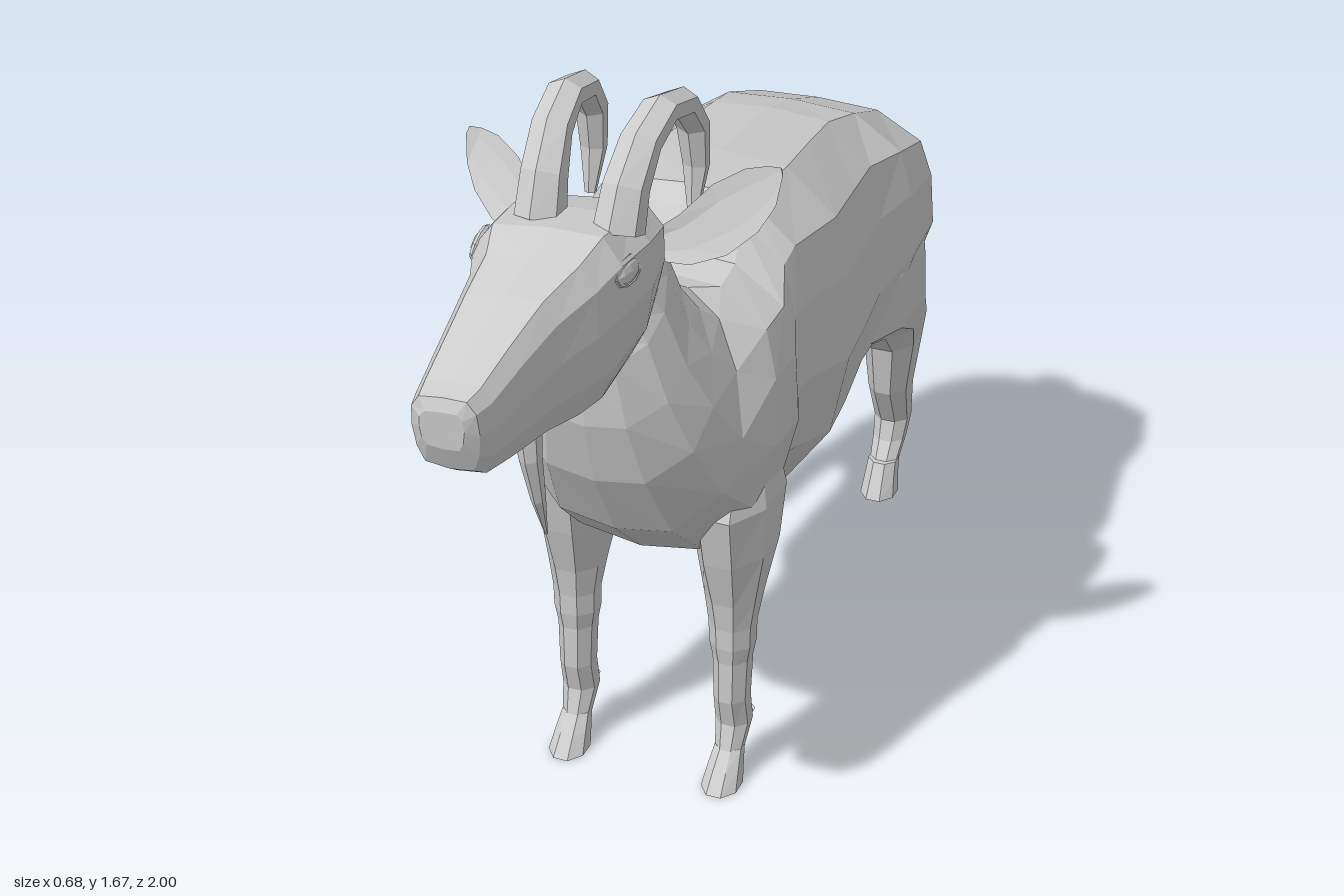
import * as THREE from 'three';

const coat = new THREE.MeshStandardMaterial({ color: 0xcccccc, flatShading: true });
coat.name = 'pale grey coat';

const MID = 0.02; // the body's mirror plane
const V = (x, y, z) => new THREE.Vector3(x, y, z);

// Skin a list of equal rings of points, closed at both ends.
function loft(name, rings) {
  const pos = [], n = rings[0].length;
  const tri = (a, b, c) => pos.push([a, b, c]);
  for (let i = 0; i < rings.length - 1; i++) {
    for (let j = 0; j < n; j++) {
      const k = (j + 1) % n, p = rings[i], q = rings[i + 1];
      tri(p[j], p[k], q[k]);
      tri(p[j], q[k], q[j]);
    }
  }
  const middle = r => r.reduce((s, p) => s.add(p), V(0, 0, 0)).divideScalar(n);
  const first = rings[0], last = rings[rings.length - 1];
  const c0 = middle(first), c1 = middle(last);
  for (let j = 0; j < n; j++) {
    const k = (j + 1) % n;
    tri(first[k], first[j], c0);
    tri(last[j], last[k], c1);
  }
  // turn the skin outward whichever way the rings run
  let volume = 0;
  for (const [a, b, c] of pos) {
    volume += a.clone().sub(c0).dot(b.clone().sub(c0).cross(c.clone().sub(c0)));
  }
  const points = pos.flatMap(([a, b, c]) => (volume < 0 ? [a, c, b] : [a, b, c]));
  const geo = new THREE.BufferGeometry().setFromPoints(points);
  geo.computeVertexNormals();
  const mesh = new THREE.Mesh(geo, coat);
  mesh.name = name;
  return mesh;
}

// Ring from a half profile, stretched between a top and a bottom point.
// roll lifts the left side and lowers the right.
function profileRing(profile, [tz, ty, bz, by, w, x = MID], roll = 0) {
  const right = profile.slice(1, -1).reverse().map(([u, v]) => [-u, v]);
  return [...profile, ...right].map(([u, v]) => {
    const t = (v + 1) / 2;
    return V(x + u * w, by + (ty - by) * t + roll * u * w * t, bz + (tz - bz) * t);
  });
}

// Eight-sided level ring: [y, front z, back z, x, half width]
function levelRing(side, [y, zf, zb, x, hw]) {
  return Array.from({ length: 8 }, (_, i) => {
    const a = ((i + 0.5) / 8) * Math.PI * 2;
    const k = 1 / Math.cos(Math.PI / 8);
    return V(MID + side * (x + hw * k * Math.cos(a)), y, (zf + zb) / 2 + ((zf - zb) / 2) * k * Math.sin(a));
  });
}

// Tube bending in a side-on plane: [z, y, half width, half depth, x]
function bentTube(name, path, sides) {
  return loft(name, path.map(([z, y, hw, hd, x], i) => {
    const a = path[Math.max(i - 1, 0)], b = path[Math.min(i + 1, path.length - 1)];
    const dz = b[0] - a[0], dy = b[1] - a[1], len = Math.hypot(dz, dy);
    return Array.from({ length: sides }, (_, j) => {
      const t = ((j + 0.5) / sides) * Math.PI * 2, d = hd * Math.sin(t);
      return V(x + hw * Math.cos(t), y + (dz / len) * d, z - (dy / len) * d);
    });
  }));
}

export function createModel() {
  const goat = new THREE.Group();
  goat.name = 'goat';

  // Trunk from rump to shoulders, then a rounder neck up to the throat
  const trunk = [[0, 1], [0.5, 0.97], [0.87, 0.73], [0.97, 0.4], [1, -0.08], [0.87, -0.55], [0.5, -0.93], [0, -1]];
  const neck = [[0, 1], [0.36, 0.97], [0.66, 0.78], [0.87, 0.4], [1, -0.1], [0.9, -0.55], [0.5, -0.93], [0, -1]];
  const trunkRings = [
    [-0.94, 0.98, -0.94, 0.81, 0.12],
    [-0.905, 1.055, -0.92, 0.73, 0.215],
    [-0.83, 1.14, -0.83, 0.66, 0.28],
    [-0.65, 1.215, -0.66, 0.60, 0.293],
    [-0.52, 1.252, -0.50, 0.52, 0.265],
    [-0.38, 1.27, -0.36, 0.482, 0.278],
    [-0.22, 1.287, -0.22, 0.482, 0.295],
    [-0.04, 1.295, -0.08, 0.53, 0.265],
    [0.00, 1.265, -0.02, 0.55, 0.258],
    [0.06, 1.195, 0.06, 0.56, 0.284],
    [0.13, 1.178, 0.22, 0.575, 0.277],
  ];
  const neckRings = [
    [0.18, 1.19, 0.36, 0.70, 0.245],
    [0.22, 1.215, 0.46, 0.87, 0.21],
    [0.25, 1.26, 0.505, 1.02, 0.17],
    [0.28, 1.36, 0.515, 1.16, 0.13],
    [0.35, 1.43, 0.50, 1.21, 0.10],
  ];
  goat.add(loft('bodyAndNeck', [
    ...trunkRings.map(s => profileRing(trunk, s)),
    ...neckRings.map(s => profileRing(neck, s)),
  ]));

  // Head, turned and tipped slightly aside
  const skull = [[0, 1], [0.7, 0.96], [0.95, 0.65], [1, 0.1], [0.92, -0.5], [0.72, -0.92], [0, -1]];
  goat.add(loft('head', [
    [0.30, 1.40, 0.36, 1.26, 0.09, 0.0],
    [0.36, 1.445, 0.41, 1.22, 0.145, -0.005],
    [0.47, 1.475, 0.48, 1.17, 0.17, -0.015],
    [0.58, 1.485, 0.60, 1.14, 0.16, -0.015],
    [0.655, 1.46, 0.67, 1.14, 0.135, -0.012],
    [0.755, 1.43, 0.755, 1.145, 0.11, -0.024],
    [0.86, 1.385, 0.87, 1.15, 0.092, -0.033],
    [0.95, 1.345, 0.94, 1.155, 0.079, -0.04],
    [0.99, 1.335, 0.97, 1.175, 0.068, -0.042],
    [1.0, 1.31, 0.995, 1.23, 0.045, -0.042],
  ].map(s => profileRing(skull, s, 0.07))));

  // Beard
  goat.add(bentTube('beard', [
    [0.735, 1.15, 0.028, 0.030, 0.005],
    [0.738, 1.08, 0.022, 0.025, 0.012],
    [0.72, 0.98, 0.014, 0.017, 0.018],
    [0.692, 0.885, 0.003, 0.003, 0.02],
  ], 6));

  // Tail, drooping
  goat.add(bentTube('tail', [
    [-0.86, 1.06, 0.055, 0.03, MID],
    [-0.93, 1.035, 0.05, 0.025, MID],
    [-0.968, 0.985, 0.04, 0.02, MID],
    [-0.98, 0.93, 0.03, 0.016, MID],
    [-0.99, 0.875, 0.012, 0.009, MID],
  ], 6));

  for (const side of [1, -1]) {
    const word = side > 0 ? 'left' : 'right';
    const leg = (name, rows) => goat.add(loft(word + name, rows.map(r => levelRing(side, r))));

    // Front leg with knee, fetlock and hoof
    leg('FrontLeg', [
      [0.82, 0.21, 0.02, 0.185, 0.055],
      [0.70, 0.265, -0.025, 0.178, 0.083],
      [0.575, 0.24, 0.005, 0.178, 0.075],
      [0.46, 0.208, 0.07, 0.178, 0.057],
      [0.39, 0.197, 0.095, 0.178, 0.047],
      [0.34, 0.195, 0.096, 0.178, 0.046],
      [0.30, 0.188, 0.10, 0.178, 0.039],
      [0.20, 0.188, 0.105, 0.178, 0.036],
      [0.13, 0.17, 0.095, 0.178, 0.037],
      [0.06, 0.19, 0.13, 0.178, 0.028],
    ]);
    leg('FrontHoof', [
      [0.075, 0.185, 0.13, 0.178, 0.03],
      [0.04, 0.22, 0.14, 0.178, 0.035],
      [0, 0.255, 0.15, 0.178, 0.04],
    ]);

    // Hind leg, held above the ground
    leg('HindLeg', [
      [0.97, -0.56, -0.83, 0.195, 0.065],
      [0.85, -0.50, -0.885, 0.19, 0.092],
      [0.71, -0.51, -0.915, 0.193, 0.087],
      [0.64, -0.685, -0.92, 0.193, 0.075],
      [0.56, -0.77, -0.93, 0.19, 0.06],
      [0.43, -0.795, -0.92, 0.186, 0.046],
      [0.32, -0.86, -0.935, 0.182, 0.04],
      [0.27, -0.85, -0.92, 0.18, 0.036],
      [0.21, -0.81, -0.87, 0.18, 0.03],
    ]);
    leg('HindHoof', [
      [0.23, -0.81, -0.88, 0.18, 0.033],
      [0.19, -0.79, -0.87, 0.18, 0.036],
      [0.15, -0.77, -0.87, 0.18, 0.04],
    ]);

    // Dewclaws behind each fetlock
    for (const [y, z] of [[0.135, 0.105], [0.295, -0.925]]) {
      for (const dx of [-0.023, 0.023]) {
        const claw = new THREE.Mesh(new THREE.ConeGeometry(0.016, 0.04, 5), coat);
        claw.name = word + 'Dewclaw';
        claw.position.set(MID + side * 0.18 + dx, y, z - 0.008);
        claw.rotation.x = -2.1;
        goat.add(claw);
      }
    }

    // Horn, arching back and down
    const hx = d => 0.017 + side * d;
    goat.add(bentTube(word + 'Horn', [
      [0.505, 1.46, 0.050, 0.054, hx(0.08)],
      [0.475, 1.54, 0.046, 0.046, hx(0.083)],
      [0.42, 1.61, 0.042, 0.036, hx(0.09)],
      [0.34, 1.643, 0.039, 0.031, hx(0.097)],
      [0.25, 1.62, 0.037, 0.030, hx(0.102)],
      [0.195, 1.55, 0.034, 0.028, hx(0.106)],
      [0.182, 1.46, 0.028, 0.023, hx(0.108)],
      [0.20, 1.365, 0.012, 0.010, hx(0.109)],
    ], 6));

    // Ear, a cupped leaf, the right one hanging lower: [x, y, z, half height, half thickness]
    const droop = side < 0 ? 0.2 : 0;
    goat.add(loft(word + 'Ear', [
      [0.12, 1.37, 0.37, 0.028, 0.03],
      [0.17, 1.385, 0.355, 0.045, 0.032],
      [0.23, 1.425, 0.325, 0.063, 0.028],
      [0.285, 1.465, 0.30, 0.056, 0.02],
      [0.32, 1.495, 0.285, 0.035, 0.012],
      [0.337, 1.525, 0.28, 0.008, 0.004],
    ].map(([x, y, z, h, t]) => {
      const leaf = [[1, 0], [0.45, -0.2], [-0.45, -0.2], [-1, 0], [-0.5, -1], [0.5, -1]];
      const drop = droop * (x - 0.08);
      return leaf.map(([u, v]) => V(side * (x - 0.35 * u * h), y - drop + u * h, z - drop * 0.8 + v * t - 0.3 * u * h));
    })));

    // Eye with raised lids
    const eye = new THREE.Group();
    eye.name = word + 'Eye';
    const ball = new THREE.Mesh(new THREE.SphereGeometry(1, 10, 6), coat);
    ball.name = 'eyeball';
    ball.scale.set(0.014, 0.025, 0.045);
    const lids = new THREE.Mesh(new THREE.TorusGeometry(1, 0.12, 5, 10), coat);
    lids.name = 'eyelids';
    lids.rotation.y = Math.PI / 2;
    lids.scale.set(0.047, 0.027, 0.05);
    eye.add(ball, lids);
    eye.position.set(-0.015 + side * 0.149, 1.412, 0.556);
    eye.rotation.set(0, side * -0.1, side * 0.2);
    goat.add(eye);
  }
  return goat;
}
